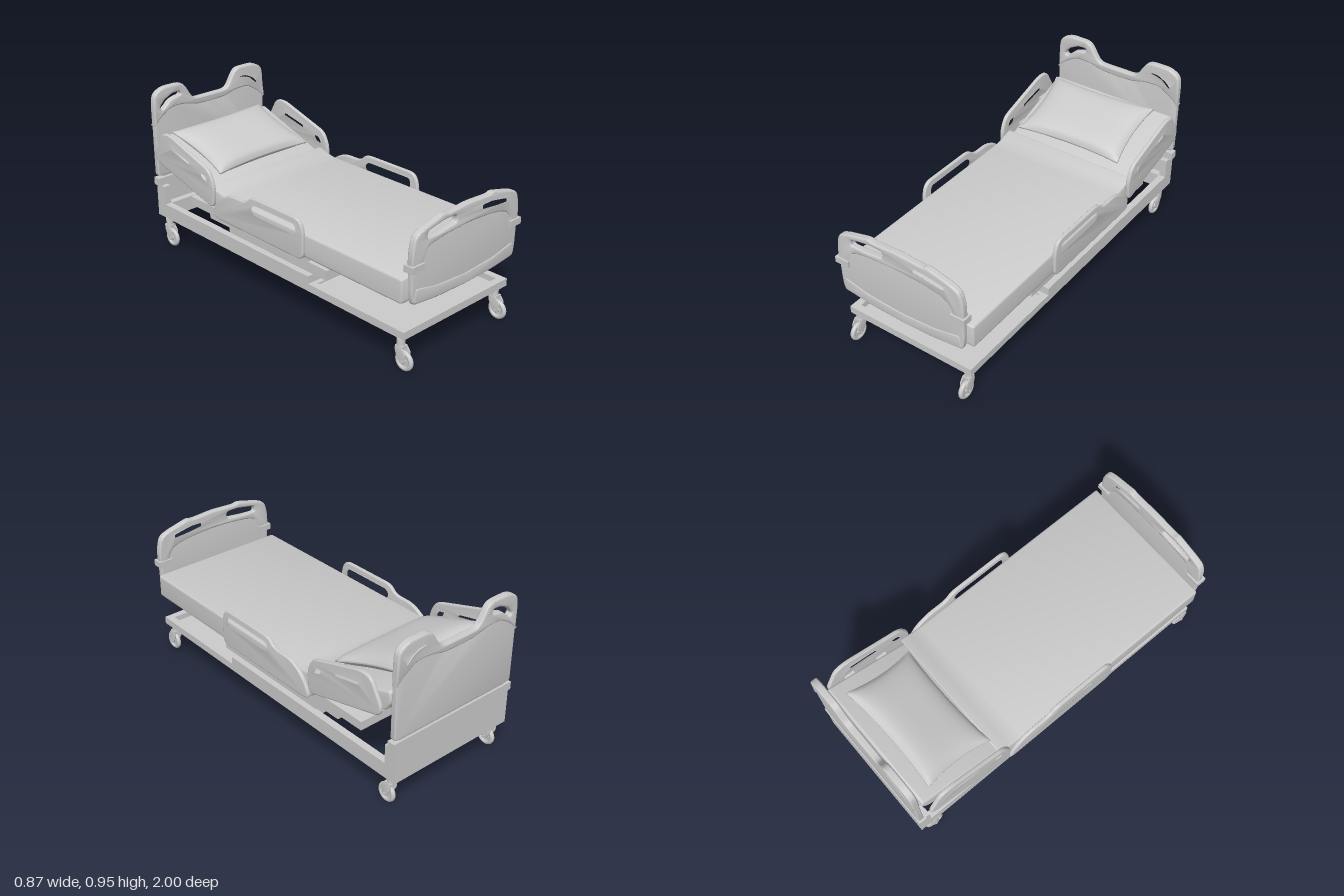
import * as THREE from 'three';
import { toCreasedNormals, mergeVertices } from 'three/addons/utils/BufferGeometryUtils.js';

const grey = new THREE.MeshStandardMaterial({ color: 0xcccccc });

function add(parent, name, geometry, x = 0, y = 0, z = 0) {
  const mesh = new THREE.Mesh(geometry, grey);
  mesh.name = name;
  mesh.position.set(x, y, z);
  parent.add(mesh);
  return mesh;
}

// Box given by its limits on each axis
function box(parent, name, [x0, x1], [y0, y1], [z0, z1]) {
  return add(parent, name, new THREE.BoxGeometry(x1 - x0, y1 - y0, z1 - z0),
    (x0 + x1) / 2, (y0 + y1) / 2, (z0 + z1) / 2);
}

// Closed polygon with rounded corners; a point may carry its own radius
function trace(path, pts, radius) {
  const v = pts.map(p => new THREE.Vector2(p[0], p[1]));
  v.forEach((p, i) => {
    const cut = q => {
      const d = q.clone().sub(p);
      return d.setLength(Math.min(pts[i][2] ?? radius, d.length() * 0.49)).add(p);
    };
    const a = cut(v[(i + v.length - 1) % v.length]), b = cut(v[(i + 1) % v.length]);
    if (i === 0) path.moveTo(a.x, a.y); else path.lineTo(a.x, a.y);
    path.quadraticCurveTo(p.x, p.y, b.x, b.y);
  });
  path.closePath();
  return path;
}

// Half outline completed by its mirror image in x
const sym = half => [...half, ...half.filter(p => p[0] !== 0).reverse().map(([x, y, ...r]) => [-x, y, ...r])];
const flip = pts => pts.map(([x, y, ...r]) => [-x, y, ...r]);

// Bevelled slab centred on z = 0
function slab(pts, radius, depth, bevel, holes = [], holeRadius = 0.03) {
  const shape = trace(new THREE.Shape(), pts, radius);
  holes.forEach(h => shape.holes.push(trace(new THREE.Path(), h, holeRadius)));
  const geo = new THREE.ExtrudeGeometry(shape, {
    depth: depth - 2 * bevel, bevelThickness: bevel, bevelSize: bevel, bevelOffset: -bevel,
    bevelSegments: 3, curveSegments: 6,
  });
  geo.translate(0, 0, bevel - depth / 2);
  return toCreasedNormals(geo, 0.6);
}

// Slab drawn in (z, y) and extended along x
const sideSlab = (pts, radius, width, bevel, holes = [], holeRadius) =>
  slab(flip(pts), radius, width, bevel, holes.map(flip), holeRadius).rotateY(Math.PI / 2);

function headboard() {
  const g = new THREE.Group();
  g.name = 'headboard';
  const slot = [[0.212, 0.885], [0.22, 0.908], [0.27, 0.905], [0.325, 0.878], [0.36, 0.84],
    [0.345, 0.822], [0.325, 0.835], [0.29, 0.868], [0.25, 0.88]];
  const rim = sym([[0, 0.843], [0.11, 0.843], [0.135, 0.86], [0.18, 0.935], [0.21, 0.954], [0.33, 0.955],
    [0.39, 0.925], [0.4, 0.87], [0.4, 0.73, 0.005], [0.36, 0.775], [0.28, 0.825], [0.2, 0.825], [0.1, 0.8], [0, 0.797]]);
  add(g, 'headboardRim', slab(rim, 0.03, 0.04, 0.01, [slot, flip(slot)], 0.015), 0, 0, -0.98);
  const panel = sym([[0, 0.805], [0.1, 0.81], [0.2, 0.835], [0.28, 0.835], [0.36, 0.785], [0.399, 0.745], [0.399, 0.43]]);
  add(g, 'headboardPanel', slab(panel, 0.02, 0.032, 0.006), 0, 0, -0.98);
  box(g, 'headboardCap', [-0.405, 0.405], [0.375, 0.42], [-1, -0.955]);
  box(g, 'headboardMount', [-0.36, 0.36], [0.41, 0.45], [-0.99, -0.97]);
  box(g, 'headLowerPanel', [-0.39, 0.39], [0.18, 0.375], [-0.998, -0.965]);
  for (const s of [-1, 1]) {
    box(g, 'headPost', [s * 0.37 - 0.02, s * 0.37 + 0.02], [0.18, 0.375], [-0.965, -0.925]);
  }
  return g;
}

function footboard() {
  const g = new THREE.Group();
  g.name = 'footboard';
  const slot = [[0.085, 0.712], [0.09, 0.752], [0.17, 0.752], [0.29, 0.73], [0.292, 0.692], [0.2, 0.698]];
  const rim = sym([[0, 0.787], [0.155, 0.778], [0.175, 0.788], [0.32, 0.752], [0.37, 0.73], [0.388, 0.66],
    [0.39, 0.56, 0.004], [0.32, 0.56, 0.004], [0.325, 0.6], [0.295, 0.64], [0.25, 0.658], [0.15, 0.672], [0, 0.68]]);
  add(g, 'footboardRim', slab(rim, 0.03, 0.038, 0.01, [slot, flip(slot)], 0.02), 0, 0, 0.971);
  const panel = sym([[0, 0.69], [0.15, 0.682], [0.26, 0.665], [0.31, 0.64], [0.388, 0.58],
    [0.385, 0.44], [0.375, 0.375], [0.2, 0.356], [0, 0.351]]);
  add(g, 'footboardPanel', slab(panel, 0.025, 0.03, 0.01), 0, 0, 0.971);
  const lip = sym([[0, 0.415], [0.2, 0.427], [0.36, 0.46], [0.372, 0.38], [0.2, 0.36], [0, 0.354]]);
  add(g, 'footboardLip', slab(lip, 0.02, 0.036, 0.008), 0, 0, 0.971);
  for (const s of [-1, 1]) {
    box(g, 'footboardClamp', [s * 0.358 - 0.042, s * 0.358 + 0.042], [0.55, 0.585], [0.942, 1]);
  }
  return g;
}

function sideRails(s) {
  const g = new THREE.Group();
  g.name = s > 0 ? 'leftRails' : 'rightRails';
  const lower = [[0.3, 0.372], [0.3, 0.53], [0.27, 0.592], [-0.1, 0.592], [-0.14, 0.547], [-0.27, 0.547],
    [-0.36, 0.5], [-0.42, 0.4], [-0.4, 0.372]];
  const grip = [[0.258, 0.488], [0.25, 0.562], [-0.08, 0.562], [-0.105, 0.525], [-0.08, 0.488]];
  add(g, 'lowerRail', sideSlab(lower, 0.045, 0.022, 0.008, [grip]), s * 0.423);
  const upper = [[-0.415, 0.42], [-0.405, 0.55], [-0.445, 0.635], [-0.79, 0.742], [-0.86, 0.735],
    [-0.935, 0.6], [-0.92, 0.552]];
  const slot = [[-0.605, 0.61], [-0.61, 0.64], [-0.78, 0.678], [-0.79, 0.65]];
  const hole = [[-0.45, 0.55], [-0.47, 0.6], [-0.525, 0.61], [-0.51, 0.565]];
  add(g, 'upperRail', sideSlab(upper, 0.04, 0.022, 0.008, [slot, hole], 0.02), s * 0.423);
  // Brackets carrying the rails
  for (const [y, z] of [[0.39, 0.15], [0.39, -0.25], [0.5, -0.6], [0.57, -0.8]]) {
    box(g, 'railBracket', [s * 0.39 - 0.025, s * 0.39 + 0.025], [y, y + 0.035], [z - 0.03, z + 0.03]);
  }
  return g;
}

// Cushion: a flattened box with pinched sides and a swelling middle
function pillow() {
  let geo = new THREE.BoxGeometry(2, 2, 2, 36, 4, 28);
  geo.deleteAttribute('uv');
  geo.deleteAttribute('normal');
  const p = geo.attributes.position;
  for (let i = 0; i < p.count; i++) {
    const u = p.getX(i), w = p.getY(i), v = p.getZ(i);
    const swell = Math.pow((1 - u ** 4) * (1 - v ** 4), 0.55);
    p.setXYZ(i,
      u * 0.325 * (1 - 0.07 * (1 - v * v)) - 0.02 + 0.008 * v,
      w * (0.005 + 0.046 * swell) + 0.05,
      v * 0.212 * (1 - 0.09 * (1 - u * u)) - 0.008 * u);
  }
  geo = mergeVertices(geo);
  geo.computeVertexNormals();
  return geo;
}

function caster(x, z) {
  const g = new THREE.Group();
  g.name = 'caster';
  g.position.set(x, 0, z);
  const turn = geo => geo.rotateZ(Math.PI / 2);
  add(g, 'tyre', new THREE.TorusGeometry(0.042, 0.013, 12, 32).rotateY(Math.PI / 2), 0, 0.055);
  add(g, 'wheelDisc', turn(new THREE.CylinderGeometry(0.036, 0.036, 0.01, 28)), 0, 0.055);
  add(g, 'hub', turn(new THREE.CylinderGeometry(0.016, 0.016, 0.026, 20)), 0, 0.055);
  add(g, 'axle', turn(new THREE.CylinderGeometry(0.007, 0.007, 0.05, 12)), 0, 0.055);
  const plate = [[-0.045, 0.13], [0.0, 0.13], [0.022, 0.1], [0.014, 0.042], [-0.012, 0.042], [-0.045, 0.1]];
  for (const s of [-1, 1]) add(g, 'forkPlate', sideSlab(plate, 0.012, 0.005, 0.001), s * 0.019);
  box(g, 'forkCrown', [-0.021, 0.021], [0.117, 0.133], [-0.045, 0]);
  add(g, 'swivel', new THREE.CylinderGeometry(0.021, 0.021, 0.037, 20), 0, 0.152, -0.025);
  add(g, 'stem', new THREE.CylinderGeometry(0.014, 0.014, 0.06, 16), 0, 0.155, -0.025);
  return g;
}

export function createModel() {
  const model = new THREE.Group();
  model.name = 'adjustableBed';

  // Wheeled base frame
  const base = new THREE.Group();
  base.name = 'baseFrame';
  model.add(base);
  for (const s of [-1, 1]) {
    const x = [s * 0.37 - 0.02, s * 0.37 + 0.02];
    box(base, 'longRail', x, [0.18, 0.222], [-0.96, 0.95]);
    box(base, 'upperRailBeam', x, [0.222, 0.265], [-0.96, 0.29]);
  }
  const inner = [-0.35, 0.35];
  box(base, 'footCrossbar', inner, [0.18, 0.222], [0.91, 0.95]);
  box(base, 'footTray', inner, [0.181, 0.19], [0.29, 0.91]);
  box(base, 'middlePlate', inner, [0.18, 0.2], [-0.3, 0.29]);
  box(base, 'middleCrossbar', inner, [0.222, 0.265], [0.25, 0.29]);
  box(base, 'rearCrossbar', inner, [0.18, 0.265], [-0.34, -0.3]);
  box(base, 'headCrossbar', inner, [0.18, 0.265], [-0.96, -0.92]);
  box(base, 'motorBox', [-0.24, 0.25], [0.1, 0.182], [-0.18, 0.06]);
  for (const x of [-0.365, 0.345]) for (const z of [0.937, -0.905]) model.add(caster(x, z));

  // Stepped lifting unit
  const lift = [-0.355, 0.355];
  box(model, 'liftLower', lift, [0.265, 0.322], [-0.38, 0.39]);
  box(model, 'liftUpper', lift, [0.322, 0.372], [-0.72, 0.25]);
  box(model, 'liftRear', lift, [0.295, 0.322], [-0.55, -0.38]);

  // Sleeping surface
  box(model, 'deck', [-0.38, 0.38], [0.368, 0.385], [-0.38, 0.93]);
  const cover = [[0.945, 0.378], [0.945, 0.51], [-0.36, 0.51, 0.05], [-0.47, 0.542], [-0.435, 0.405], [-0.4, 0.378]];
  add(model, 'coveredMattress', sideSlab(cover, 0.015, 0.824, 0.012));
  const raised = [[-0.4, 0.5], [-0.945, 0.685], [-0.95, 0.62], [-0.915, 0.56], [-0.4, 0.385]];
  add(model, 'raisedMattress', sideSlab(raised, 0.025, 0.78, 0.012));
  const rest = add(model, 'pillow', pillow(), 0, 0.605, -0.69);
  rest.rotation.x = 0.32;

  model.add(headboard(), footboard(), sideRails(1), sideRails(-1));
  return model;
}
